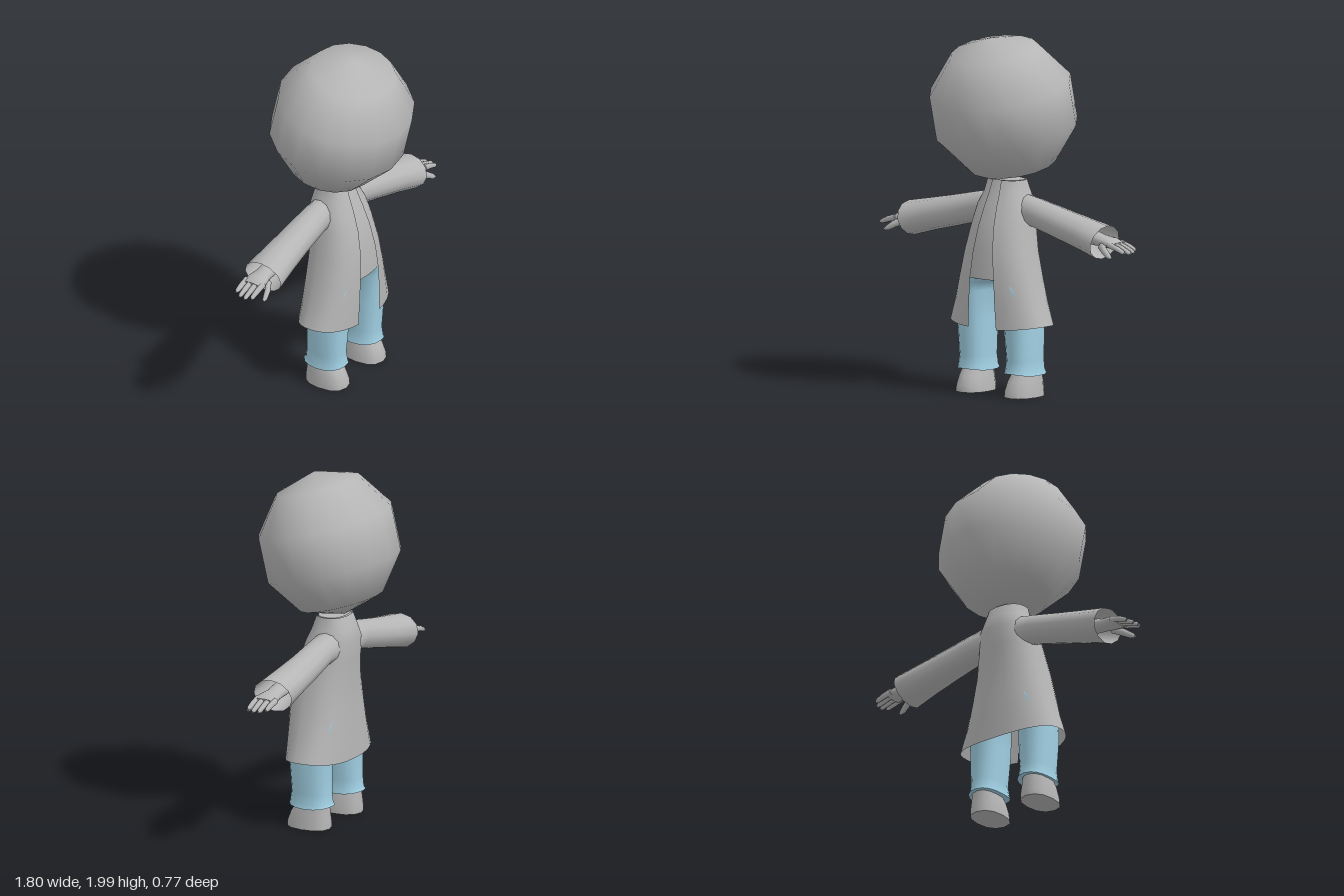
import * as THREE from 'three';

const V = (x, y, z) => new THREE.Vector3(x, y, z);
const signedPow = (v, p) => Math.sign(v) * Math.abs(v) ** p;

// Smooth skin over a list of rings; closed rings wrap round, caps fill the ends.
function loft(rings, { closed = true, capStart = false, capEnd = false } = {}) {
  const n = rings[0].length, pts = rings.flat(), index = [];
  const spans = closed ? n : n - 1;
  for (let i = 0; i < rings.length - 1; i++) {
    for (let j = 0; j < spans; j++) {
      const k = (j + 1) % n, a = i * n + j, b = i * n + k;
      index.push(a, b, b + n, a, b + n, a + n);
    }
  }
  const cap = (ring, flip) => {
    const base = pts.length;
    const mid = ring.reduce((s, p) => s.add(p), V(0, 0, 0)).divideScalar(n);
    pts.push(...ring, mid);
    for (let j = 0; j < n; j++) {
      const a = base + j, b = base + (j + 1) % n;
      index.push(flip ? b : a, flip ? a : b, base + n);
    }
  };
  if (capStart) cap(rings[0], true);
  if (capEnd) cap(rings[rings.length - 1], false);
  const g = new THREE.BufferGeometry().setFromPoints(pts);
  g.setIndex(index);
  g.computeVertexNormals();
  return g;
}

// Horizontal ring from x and z limits; a gap leaves the front open.
function levelRing(y, x0, x1, zb, zf, { n = 16, p = 0.85, gap = 0, hem = 0 } = {}) {
  const w = (x1 - x0) / 2, d = (zf - zb) / 2;
  const start = gap ? Math.asin((gap / w) ** (1 / p)) : 0;
  return Array.from({ length: n }, (_, i) => {
    const t = gap ? start + (2 * Math.PI - 2 * start) * i / (n - 1) : 2 * Math.PI * i / n;
    return V((x0 + x1) / 2 + w * signedPow(Math.sin(t), p),
      y - hem * Math.cos(t) ** 2,
      (zf + zb) / 2 + d * signedPow(Math.cos(t), p));
  });
}

// Ring around an arm-like axis that points to +x and drops by the given angle.
function limbRing(x, y, z, ry, rz, drop = 0.23, n = 12) {
  return Array.from({ length: n }, (_, i) => {
    const t = 2 * Math.PI * i / n, up = ry * Math.cos(t);
    return V(x + up * Math.sin(drop), y + up * Math.cos(drop), z + rz * Math.sin(t));
  });
}

function mirrored(geometry) {
  const g = geometry.clone().scale(-1, 1, 1), a = g.index.array;
  for (let i = 0; i < a.length; i += 3) [a[i], a[i + 1]] = [a[i + 1], a[i]];
  g.computeVertexNormals();
  return g;
}

export function createModel() {
  const model = new THREE.Group();
  model.name = 'figure';
  const grey = new THREE.MeshStandardMaterial({ color: 0xb6b6b6, side: THREE.DoubleSide });
  grey.name = 'grey';
  const blue = new THREE.MeshStandardMaterial({ color: 0xa0cfe2, side: THREE.DoubleSide });
  blue.name = 'pale blue';

  const add = (name, geometry, material) => {
    const mesh = new THREE.Mesh(geometry, material);
    mesh.name = name;
    model.add(mesh);
  };
  const addPair = (name, geometry, material) => {
    add('left' + name, geometry, material);
    add('right' + name, mirrored(geometry), material);
  };

  // Head: coarse ball tipped slightly forward
  const head = new THREE.SphereGeometry(1, 16, 5);
  head.rotateX(0.25).scale(0.437, 0.41, 0.388).translate(0, 1.59, 0);
  add('head', head, grey);

  // Coat: y, half width, back, front, half opening, hem dip
  const coat = [
    [0.40, 0.33, -0.165, 0.185, 0.10, 0.025],
    [0.52, 0.285, -0.16, 0.19, 0.092, 0],
    [0.65, 0.25, -0.155, 0.19, 0.085, 0],
    [0.80, 0.212, -0.15, 0.18, 0.068, 0],
    [0.94, 0.182, -0.158, 0.15, 0.053, 0],
    [1.05, 0.165, -0.165, 0.11, 0.042, 0],
    [1.12, 0.13, -0.15, 0.08, 0.036, 0],
    [1.19, 0.115, -0.12, 0.055, 0.03, 0],
  ];
  add('coat', loft(coat.map(([y, w, b, f, gap, hem]) =>
    levelRing(y, -w, w, b, f, { n: 29, gap, hem })), { closed: false }), grey);

  // Shirt: fills the coat just under its surface
  add('shirt', loft(coat.slice(2).map(([y, w, b, f]) =>
    levelRing(y, -w * 0.93, w * 0.93, b + 0.012, f - 0.01, { n: 24 })),
  { capStart: true, capEnd: true }), grey);

  // Sleeves: open cuffs
  addPair('Sleeve', loft([
    limbRing(0.10, 1.025, -0.05, 0.09, 0.085, 0.1),
    limbRing(0.20, 1.015, -0.05, 0.082, 0.085, 0.15),
    limbRing(0.39, 0.97, -0.05, 0.086, 0.095, 0.2),
    limbRing(0.55, 0.935, -0.045, 0.09, 0.107, 0.22),
    limbRing(0.70, 0.90, -0.04, 0.097, 0.12, 0.23),
  ]), grey);

  // Hands: palm, four fingers and a thumb
  addPair('Palm', loft([
    limbRing(0.58, 0.925, -0.045, 0.045, 0.05),
    limbRing(0.69, 0.908, -0.045, 0.034, 0.05),
    limbRing(0.75, 0.903, -0.043, 0.03, 0.064),
    limbRing(0.80, 0.892, -0.043, 0.019, 0.068),
  ], { capStart: true, capEnd: true }), grey);

  const tips = [0.875, 0.895, 0.90, 0.885];
  tips.forEach((tip, i) => {
    const z = -0.098 + i * 0.036;
    addPair('Finger' + (i + 1), loft([
      limbRing(0.77, 0.90, z, 0.018, 0.017, 0.3, 8),
      limbRing(0.83, 0.884, z, 0.016, 0.016, 0.3, 8),
      limbRing(tip - 0.012, 0.884 - (tip - 0.842) * 0.38, z, 0.013, 0.013, 0.3, 8),
      limbRing(tip, 0.884 - (tip - 0.83) * 0.38, z, 0.006, 0.006, 0.3, 8),
    ], { capStart: true, capEnd: true }), grey);
  });
  addPair('Thumb', loft([
    limbRing(0.71, 0.89, 0, 0.024, 0.024, 0.55, 8),
    limbRing(0.76, 0.867, 0.033, 0.02, 0.018, 0.5, 8),
    limbRing(0.80, 0.843, 0.045, 0.016, 0.015, 0.5, 8),
    limbRing(0.822, 0.832, 0.048, 0.007, 0.007, 0.5, 8),
  ], { capStart: true, capEnd: true }), grey);

  // Trouser legs: flared cuff below, meeting at the hips above
  addPair('TrouserLeg', loft([
    levelRing(0.12, 0.073, 0.267, -0.115, 0.142, { hem: -0.012 }),
    levelRing(0.145, 0.078, 0.26, -0.105, 0.138),
    levelRing(0.20, 0.085, 0.255, -0.10, 0.13),
    levelRing(0.40, 0.072, 0.264, -0.10, 0.145),
    levelRing(0.57, 0.075, 0.25, -0.125, 0.155),
    levelRing(0.62, 0.03, 0.235, -0.13, 0.165),
    levelRing(0.66, -0.02, 0.215, -0.13, 0.165),
  ], { capStart: true, capEnd: true }), blue);

  // Shoes: flat sole with a rounded toe
  addPair('Shoe', loft([
    levelRing(0, 0.085, 0.265, -0.10, 0.155, { n: 12 }),
    levelRing(0.035, 0.087, 0.263, -0.10, 0.152, { n: 12 }),
    levelRing(0.09, 0.096, 0.256, -0.093, 0.13, { n: 12 }),
    levelRing(0.15, 0.11, 0.245, -0.09, 0.09, { n: 12 }),
  ], { capStart: true, capEnd: true }), grey);

  return model;
}
